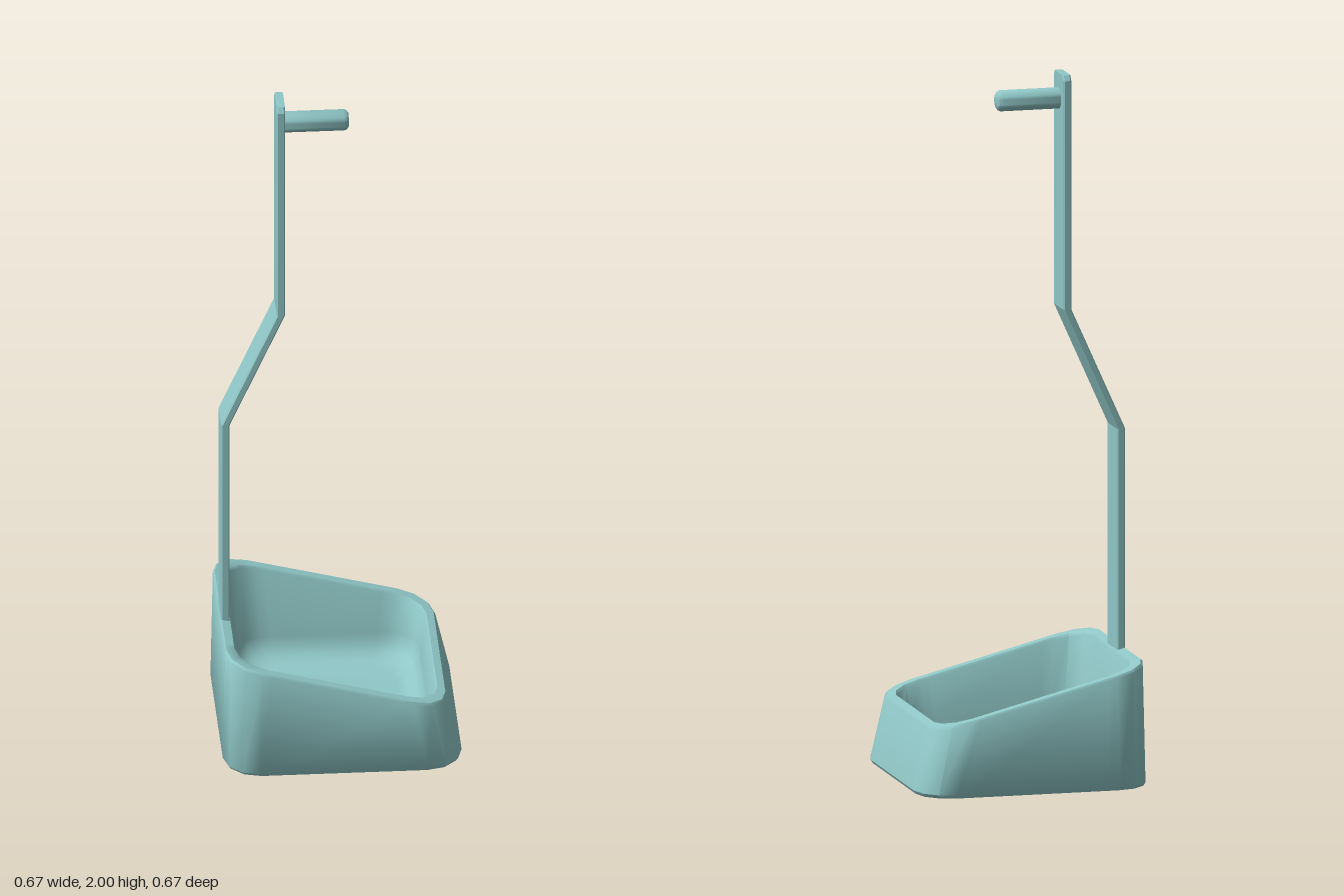
import * as THREE from 'three';
import { toCreasedNormals } from 'three/addons/utils/BufferGeometryUtils.js';

const material = new THREE.MeshStandardMaterial({ color: 0x90c7c7 });

// Skin a list of equal-length rings (counter-clockwise from above) and cap both ends.
function loft(rings, crease) {
  const n = rings[0].length, pos = [], index = [];
  rings.forEach(ring => ring.forEach(p => pos.push(...p)));
  for (let r = 0; r < rings.length - 1; r++) {
    for (let i = 0; i < n; i++) {
      const j = (i + 1) % n, a = r * n + i, b = r * n + j;
      index.push(a, b, b + n, a, b + n, a + n);
    }
  }
  const last = (rings.length - 1) * n;
  for (let i = 1; i < n - 1; i++) {
    index.push(0, i + 1, i, last, last + i, last + i + 1);
  }
  const g = new THREE.BufferGeometry();
  g.setAttribute('position', new THREE.Float32BufferAttribute(pos, 3));
  g.setIndex(index);
  return toCreasedNormals(g, crease);
}

// Rounded rectangle from x0 to x1 and -hz to hz; y is a function of x.
// A support point on each side of a corner keeps the straight sides evenly shaded.
function roundedRing(x0, x1, hz, radius, y, segments = 3, support = 0.03) {
  const pts = [];
  const add = (x, z) => pts.push([x, y(x), z]);
  const corners = [[x1 - radius, -hz + radius], [x0 + radius, -hz + radius],
    [x0 + radius, hz - radius], [x1 - radius, hz - radius]];
  corners.forEach(([cx, cz], c) => {
    for (let s = -1; s <= segments + 1; s++) {
      const t = THREE.MathUtils.clamp(s, 0, segments) / segments;
      const a = (c + t) * Math.PI / 2, cos = Math.cos(a), sin = Math.sin(a);
      const slide = s < 0 ? -support : s > segments ? support : 0;
      add(cx + radius * cos - slide * sin, cz - radius * sin - slide * cos);
    }
  });
  return pts;
}

function addMesh(group, name, geometry) {
  const mesh = new THREE.Mesh(geometry, material);
  mesh.name = name;
  group.add(mesh);
  return mesh;
}

export function createModel() {
  const group = new THREE.Group();
  group.name = 'standWithTray';

  // Tray: tapered outside, sloping rim, deep hollow with a wide rounded floor
  const rim = drop => x => 0.268 - 0.258 * x - drop;
  const level = y => () => y;
  const floor = 0.035;
  const rings = [
    roundedRing(-0.331, 0.331, 0.331, 0.097, level(0)),
    roundedRing(-0.337, 0.337, 0.337, 0.1, level(0.01)),
    roundedRing(-0.331, 0.297, 0.329, 0.1, rim(0.007)),
    roundedRing(-0.326, 0.292, 0.324, 0.097, rim(0)),
    roundedRing(-0.302, 0.271, 0.298, 0.09, rim(0)),
    roundedRing(-0.297, 0.266, 0.293, 0.088, rim(0.007)),
  ];
  for (let i = 0; i <= 4; i++) {
    const a = i / 4 * Math.PI / 2, inset = 0.07 * (1 - Math.cos(a));
    rings.push(roundedRing(-0.276 + inset, 0.25 - inset, 0.272 - inset, 0.085 - inset * 0.5,
      level(floor + 0.07 * (1 - Math.sin(a)))));
  }
  addMesh(group, 'tray', loft(rings, 0.75));

  // Cranked flat upright with chamfered edges and top
  const strap = [
    [-0.316, 0.27, 0.054], [-0.316, 0.98, 0.054], [-0.159, 1.33, 0.054],
    [-0.159, 1.985, 0.054], [-0.159, 2, 0.044],
  ].map(([x, y, hz]) => roundedRing(x - 0.012, x + 0.012, hz, 0.004, level(y), 1, 0.002));
  addMesh(group, 'upright', loft(strap, 0.3));

  // Round peg near the top, pointing inward over the tray
  const profile = [[0, 0], [0.03, 0], [0.03, 0.18], [0.027, 0.187], [0.02, 0.192], [0, 0.193]]
    .map(([r, y]) => new THREE.Vector2(r, y));
  const peg = addMesh(group, 'peg', toCreasedNormals(new THREE.LatheGeometry(profile, 24), 0.8));
  peg.rotation.z = -Math.PI / 2;
  peg.position.set(-0.157, 1.928, 0);

  return group;
}
